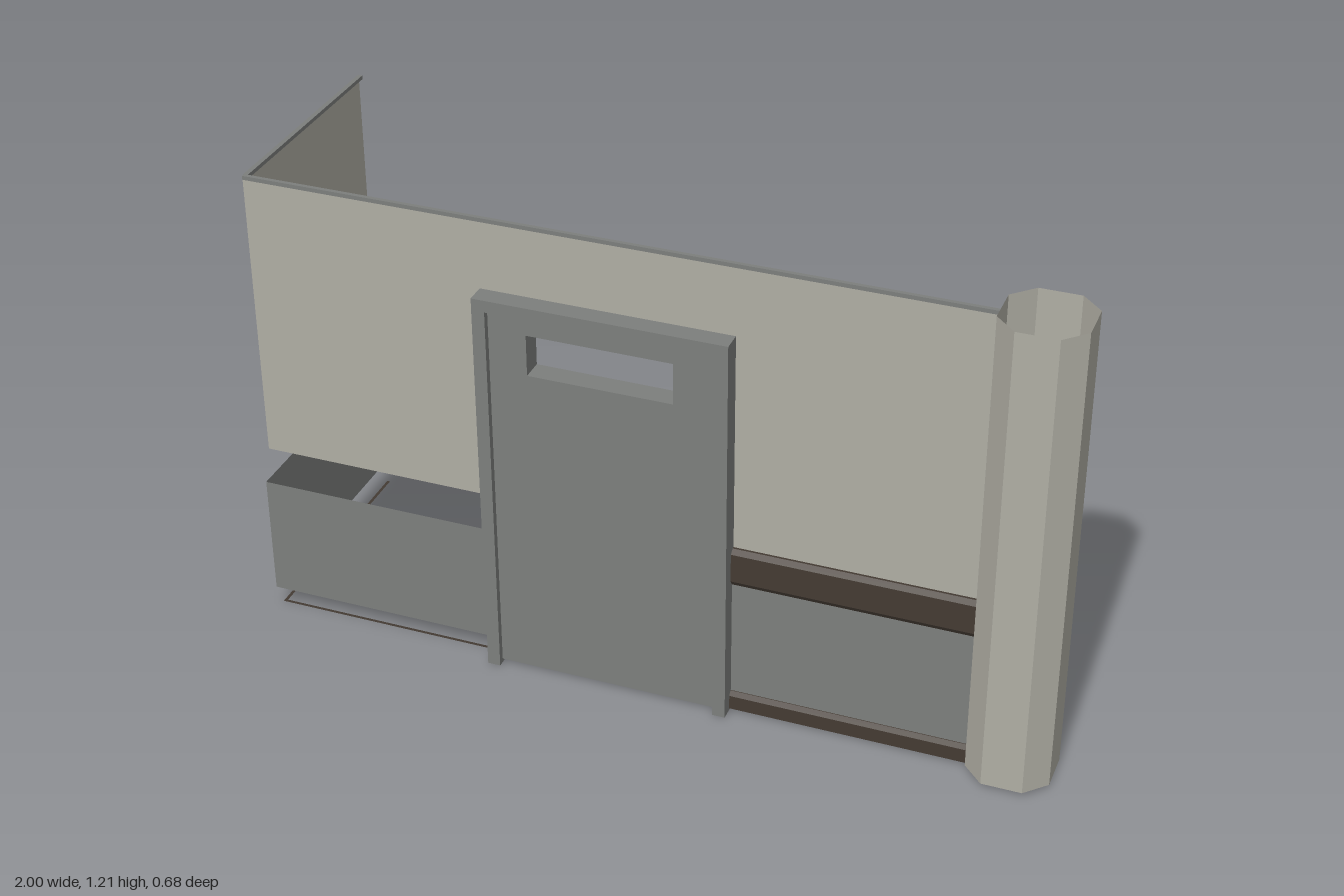
import * as THREE from 'three';

export function createModel() {
  const group = new THREE.Group();
  const mat = (name, color, side = THREE.FrontSide) => {
    const m = new THREE.MeshStandardMaterial({ color, side });
    m.name = name;
    return m;
  };
  const cream = mat('warm grey wall', 0xb0aea4, THREE.DoubleSide);
  const grey = mat('door grey', 0x7d7f7d, THREE.DoubleSide);
  const brown = mat('dark brown trim', 0x443b33, THREE.DoubleSide);

  const add = (name, geo, material) => {
    const m = new THREE.Mesh(geo, material);
    m.name = name;
    group.add(m);
    return m;
  };
  // Box given by its limits on each axis
  const box = (name, material, x0, x1, y0, y1, z0, z1) => {
    const m = add(name, new THREE.BoxGeometry(x1 - x0, y1 - y0, z1 - z0), material);
    m.position.set((x0 + x1) / 2, (y0 + y1) / 2, (z0 + z1) / 2);
    return m;
  };
  const shape = (pts) => new THREE.Shape(pts.map(([x, y]) => new THREE.Vector2(x, y)));
  const extrude = (s, depth) => new THREE.ExtrudeGeometry(s, { depth, bevelEnabled: false });
  // Extrude a (z, y) profile along x from x0 to x1
  const alongX = (name, pts, x0, x1, material) => {
    const geo = extrude(shape(pts.map(([z, y]) => [-z, y])), x1 - x0);
    const m = add(name, geo, material);
    m.rotation.y = Math.PI / 2;
    m.position.x = x0;
    return m;
  };
  // Single sheet facing along x
  const sideSheet = (name, material, x, y0, y1, z0, z1) => {
    const m = add(name, new THREE.PlaneGeometry(z1 - z0, y1 - y0), material);
    m.rotation.y = -Math.PI / 2;
    m.position.set(x, (y0 + y1) / 2, (z0 + z1) / 2);
  };

  const doorL = -0.4, doorR = 0.215, doorTop = 1.02;
  const wallEnd = 0.8, back = -0.337, wallZ = 0.256, lowZ = 0.264;

  // Upper wall, notched around the door frame, with its return side
  const upper = add('upperWall', new THREE.ShapeGeometry(shape([
    [-0.988, 0.46], [doorL, 0.46], [doorL, doorTop], [doorR, doorTop],
    [doorR, 0.46], [wallEnd, 0.46], [wallEnd, 1.19], [-0.988, 1.19],
  ])), cream);
  upper.position.z = wallZ;
  sideSheet('upperWallReturn', cream, -0.988, 0.46, 1.19, back, wallZ);

  // Capping rail
  box('wallCap', grey, -0.988, wallEnd, 1.19, 1.2, 0.247, 0.257);
  box('wallCapReturn', grey, -0.99, -0.978, 1.19, 1.2, back, 0.247);

  // Lower wall panels
  for (const [x0, x1] of [[-1, doorL], [doorR, wallEnd]]) {
    const m = add('lowerPanel', new THREE.PlaneGeometry(x1 - x0, 0.315), grey);
    m.position.set((x0 + x1) / 2, 0.2075, lowZ);
  }
  sideSheet('lowerPanelReturn', grey, -1, 0.05, 0.365, back, lowZ);

  // Thin floor edge under the left wall
  const floorEdge = (x0, x1, z0, z1) => {
    const m = add('floorEdge', new THREE.PlaneGeometry(x1 - x0, z1 - z0), brown);
    m.rotation.x = -Math.PI / 2;
    m.position.set((x0 + x1) / 2, 0.004, (z0 + z1) / 2);
  };
  floorEdge(-0.988, doorL, 0.248, 0.256);
  floorEdge(-0.988, -0.98, back, 0.248);

  // Bevelled rail and skirting to the right of the door
  alongX('middleRail', [
    [0.25, 0.375], [0.258, 0.362], [0.266, 0.362], [0.274, 0.375],
    [0.274, 0.45], [0.262, 0.46], [0.25, 0.46],
  ], doorR, wallEnd, brown);
  alongX('skirting', [
    [0.25, 0.005], [0.274, 0.005], [0.274, 0.042], [0.266, 0.053], [0.258, 0.053], [0.25, 0.042],
  ], doorR, wallEnd, brown);

  // Door frame
  const frame = add('doorFrame', extrude(shape([
    [doorL, 0], [doorL + 0.032, 0], [doorL + 0.032, 0.99], [doorR - 0.032, 0.99],
    [doorR - 0.032, 0], [doorR, 0], [doorR, doorTop], [doorL, doorTop],
  ]), 0.087), grey);
  frame.position.z = 0.219;

  // Door leaf with window opening
  const leaf = shape([[-0.368, 0.01], [0.183, 0.01], [0.183, 0.99], [-0.368, 0.99]]);
  leaf.holes.push(shape([[-0.275, 0.835], [-0.275, 0.94], [0.08, 0.94], [0.08, 0.835]]));
  const door = add('doorLeaf', extrude(leaf, 0.056), grey);
  door.position.z = 0.234;

  // Bracket handle on the back
  alongX('doorHandle', [
    [0.236, 0.385], [0.192, 0.385], [0.175, 0.405], [0.175, 0.545], [0.192, 0.565], [0.236, 0.565],
    [0.236, 0.54], [0.2, 0.54], [0.193, 0.532], [0.193, 0.418], [0.2, 0.41], [0.236, 0.41],
  ], -0.343, -0.303, grey);

  // Open eight-sided column
  const tube = new THREE.CylinderGeometry(0.1082, 0.1082, 1.195, 8, 1, true, Math.PI / 8).toNonIndexed();
  const p = tube.attributes.position;
  const snap = (v) => Math.sign(v) * (Math.abs(v) < 0.07 ? 0.049 : 0.1);
  for (let i = 0; i < p.count; i++) p.setXYZ(i, snap(p.getX(i)), p.getY(i), snap(p.getZ(i)));
  tube.computeVertexNormals();
  add('column', tube, cream).position.set(0.9, 0.6075, 0.24);

  return group;
}
